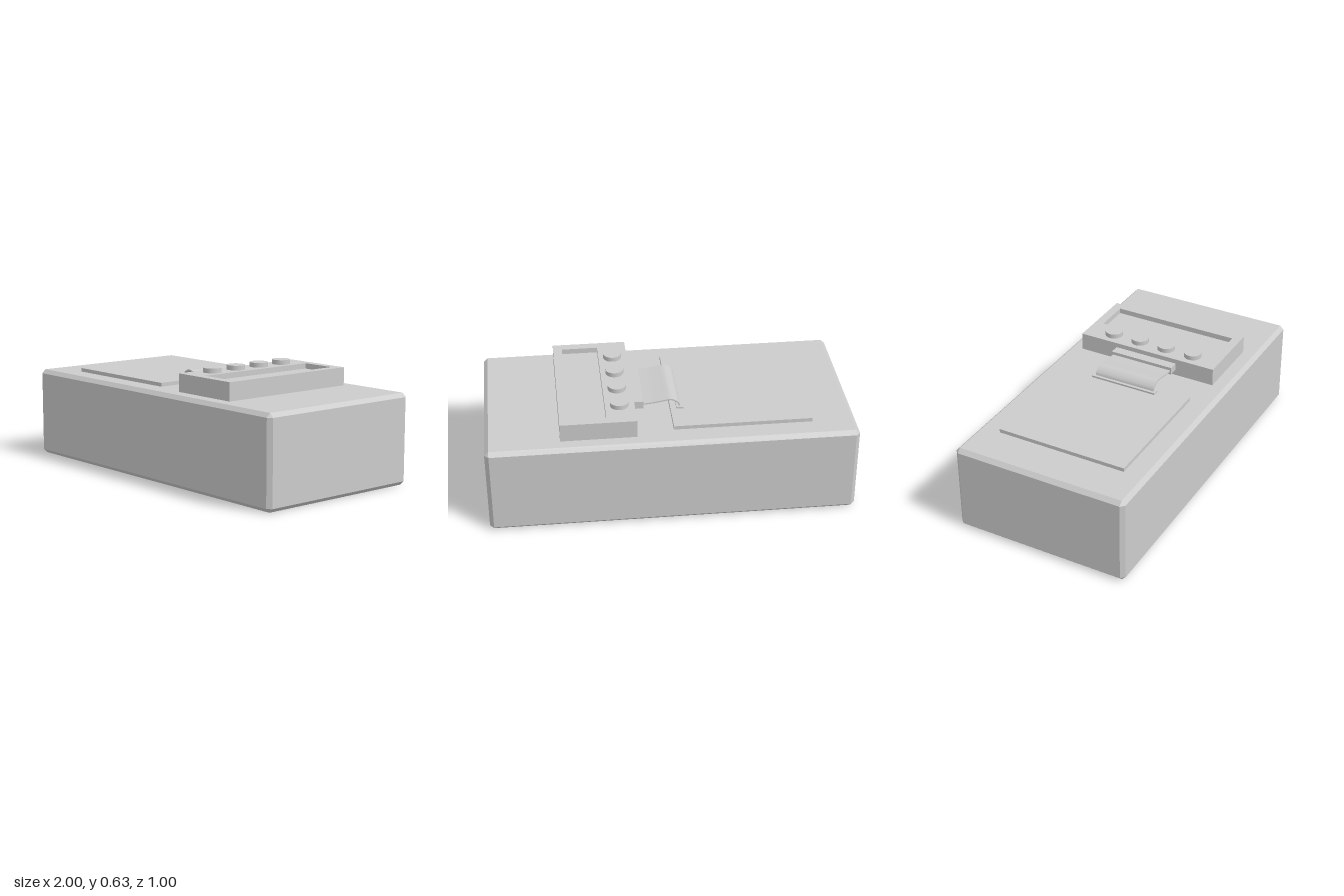
import * as THREE from 'three';
import { ConvexGeometry } from 'three/addons/geometries/ConvexGeometry.js';
import { toCreasedNormals } from 'three/addons/utils/BufferGeometryUtils.js';

export function createModel() {
  const group = new THREE.Group();
  const material = new THREE.MeshStandardMaterial({ color: 0xcccccc });

  const add = (name, geometry) => {
    const mesh = new THREE.Mesh(geometry, material);
    mesh.name = name;
    group.add(mesh);
    return mesh;
  };
  // Box given by its limits on each axis
  const box = (name, x0, x1, y0, y1, z0, z1) =>
    add(name, new THREE.BoxGeometry(x1 - x0, y1 - y0, z1 - z0)
      .translate((x0 + x1) / 2, (y0 + y1) / 2, (z0 + z1) / 2));

  // Body: block with every edge chamfered
  const half = [1, 0.25, 0.5], c = 0.022, corners = [];
  for (const sx of [-1, 1]) for (const sy of [-1, 1]) for (const sz of [-1, 1])
    for (let outer = 0; outer < 3; outer++) {
      const [x, y, z] = half.map((h, i) => (i === outer ? h : h - c));
      corners.push(new THREE.Vector3(sx * x, sy * y + 0.25, sz * z));
    }
  add('body', new ConvexGeometry(corners));

  // Flat display plate
  box('displayPlate', -0.76, -0.01, 0.49, 0.521, -0.373, 0.371);

  // Control box with a rectangular recess in its top
  const rect = (target, x0, x1, z0, z1) => target
    .moveTo(x0, -z1).lineTo(x1, -z1).lineTo(x1, -z0).lineTo(x0, -z0).closePath();
  const outline = rect(new THREE.Shape(), 0.19, 0.6, -0.42, 0.41);
  outline.holes.push(rect(new THREE.Path(), 0.35, 0.55, -0.37, 0.36));
  add('controlBox', new THREE.ExtrudeGeometry(outline, { depth: 0.1, bevelEnabled: false })
    .rotateX(-Math.PI / 2).translate(0, 0.5, 0));
  box('recessFloor', 0.35, 0.55, 0.5, 0.57, -0.37, 0.36);

  // Row of round buttons
  for (let i = 0; i < 4; i++)
    add('button', new THREE.CylinderGeometry(0.05, 0.05, 0.035, 32))
      .position.set(0.272, 0.608, -0.255 + i * 0.167);

  // Plug on the control box and socket on the plate
  box('cablePlug', 0.135, 0.19, 0.531, 0.574, -0.195, 0.18);
  box('cableSocket', -0.081, -0.043, 0.519, 0.531, -0.203, 0.188);

  // Ribbon cable: a curve thickened to both sides and extruded across
  const path = new THREE.SplineCurve([
    [-0.062, 0.524], [-0.056, 0.544], [-0.038, 0.562], [-0.012, 0.572],
    [0.03, 0.566], [0.08, 0.558], [0.14, 0.552],
  ].map(([x, y]) => new THREE.Vector2(x, y)));
  const upper = [], lower = [], steps = 28;
  for (let i = 0; i <= steps; i++) {
    const p = path.getPoint(i / steps), t = path.getTangent(i / steps);
    const n = new THREE.Vector2(-t.y, t.x).multiplyScalar(0.004);
    upper.push(p.clone().add(n));
    lower.unshift(p.clone().sub(n));
  }
  const ribbon = new THREE.ExtrudeGeometry(new THREE.Shape([...upper, ...lower]),
    { depth: 0.362, bevelEnabled: false }).translate(0, 0, -0.187);
  add('ribbonCable', toCreasedNormals(ribbon, 0.6));

  return group;
}
